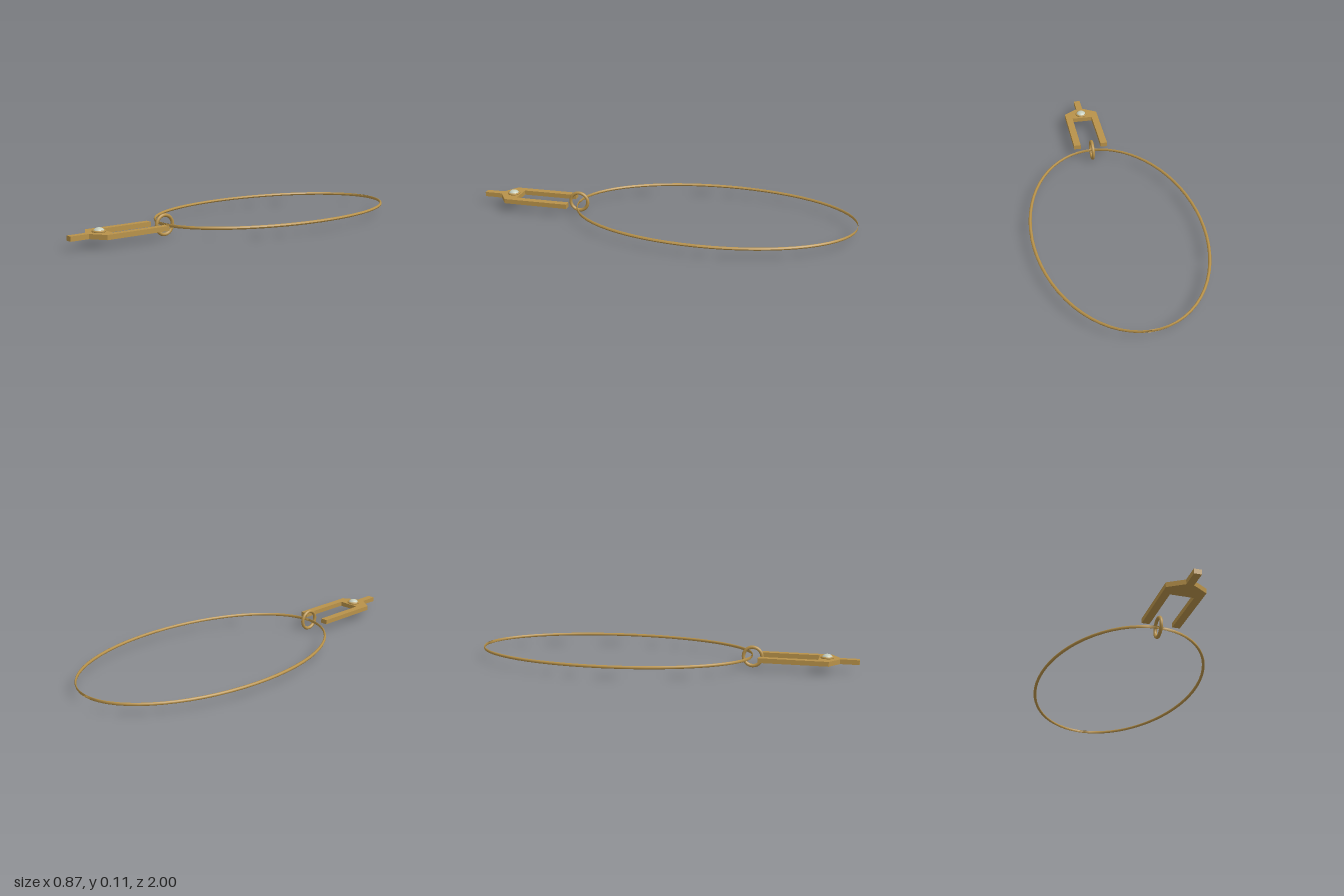
import * as THREE from 'three';

const MID = 0.06; // height of the pendant's middle plane

export function createModel() {
  const group = new THREE.Group();
  const gold = new THREE.MeshStandardMaterial({ color: 0xb8924a });
  const goldThin = new THREE.MeshStandardMaterial({ color: 0xb8924a, side: THREE.DoubleSide });
  const stone = new THREE.MeshStandardMaterial({ color: 0xc4ccbc });

  const add = (name, geometry, material, x, y, z) => {
    const mesh = new THREE.Mesh(geometry, material);
    mesh.name = name;
    mesh.position.set(x, y, z);
    group.add(mesh);
    return mesh;
  };

  // Oval cord: an upright round section swept without turning, so it pinches at both ends
  const around = 64, sides = 8, r = 0.008;
  const points = [], faces = [];
  for (let i = 0; i <= around; i++) {
    const t = (i / around) * Math.PI * 2;
    for (let j = 0; j <= sides; j++) {
      const p = (j / sides) * Math.PI * 2;
      points.push(0.429 * Math.cos(t) + r * Math.cos(p), r * Math.sin(p), 0.731 * Math.sin(t));
      if (i < around && j < sides) {
        const a = i * (sides + 1) + j, b = a + sides + 1;
        // The sweep reverses on the far half, so the winding does too
        if (Math.cos(t + Math.PI / around) > 0) faces.push(a, a + 1, b, a + 1, b + 1, b);
        else faces.push(a, b, a + 1, a + 1, b, b + 1);
      }
    }
  }
  const cord = new THREE.BufferGeometry();
  cord.setAttribute('position', new THREE.Float32BufferAttribute(points, 3));
  cord.setIndex(faces);
  cord.computeVertexNormals();
  add('necklaceCord', cord, goldThin, 0, MID, -0.269);

  // Link ring standing upright across the cord
  const ring = add('linkRing', new THREE.TorusGeometry(0.048, 0.009, 8, 24), gold, 0, MID, 0.465);
  ring.rotation.y = Math.PI / 2;

  // Two-pronged fork, outlined as (x, z) and extruded through its thickness
  const half = [[0.057, 0.8], [0.057, 0.505], [0.095, 0.505], [0.095, 0.855], [0.018, 0.905], [0.018, 1]];
  const outline = [...half, ...half.map(([x, z]) => [-x, z]).reverse()];
  const shape = new THREE.Shape(outline.map(([x, z]) => new THREE.Vector2(x, z)));
  const forkGeometry = new THREE.ExtrudeGeometry(shape, { depth: 0.024, bevelEnabled: false });
  const fork = add('tuningFork', forkGeometry, gold, 0, MID + 0.012, 0);
  fork.rotation.x = Math.PI / 2;

  // Bezel and domed stone
  const bezel = add('stoneBezel', new THREE.TorusGeometry(0.028, 0.006, 8, 20), gold, 0, 0.075, 0.84);
  bezel.rotation.x = Math.PI / 2;
  const dome = new THREE.SphereGeometry(0.028, 16, 8, 0, Math.PI * 2, 0, Math.PI / 2);
  dome.scale(1, 0.75, 1);
  add('stone', dome, stone, 0, 0.072, 0.84);

  return group;
}
